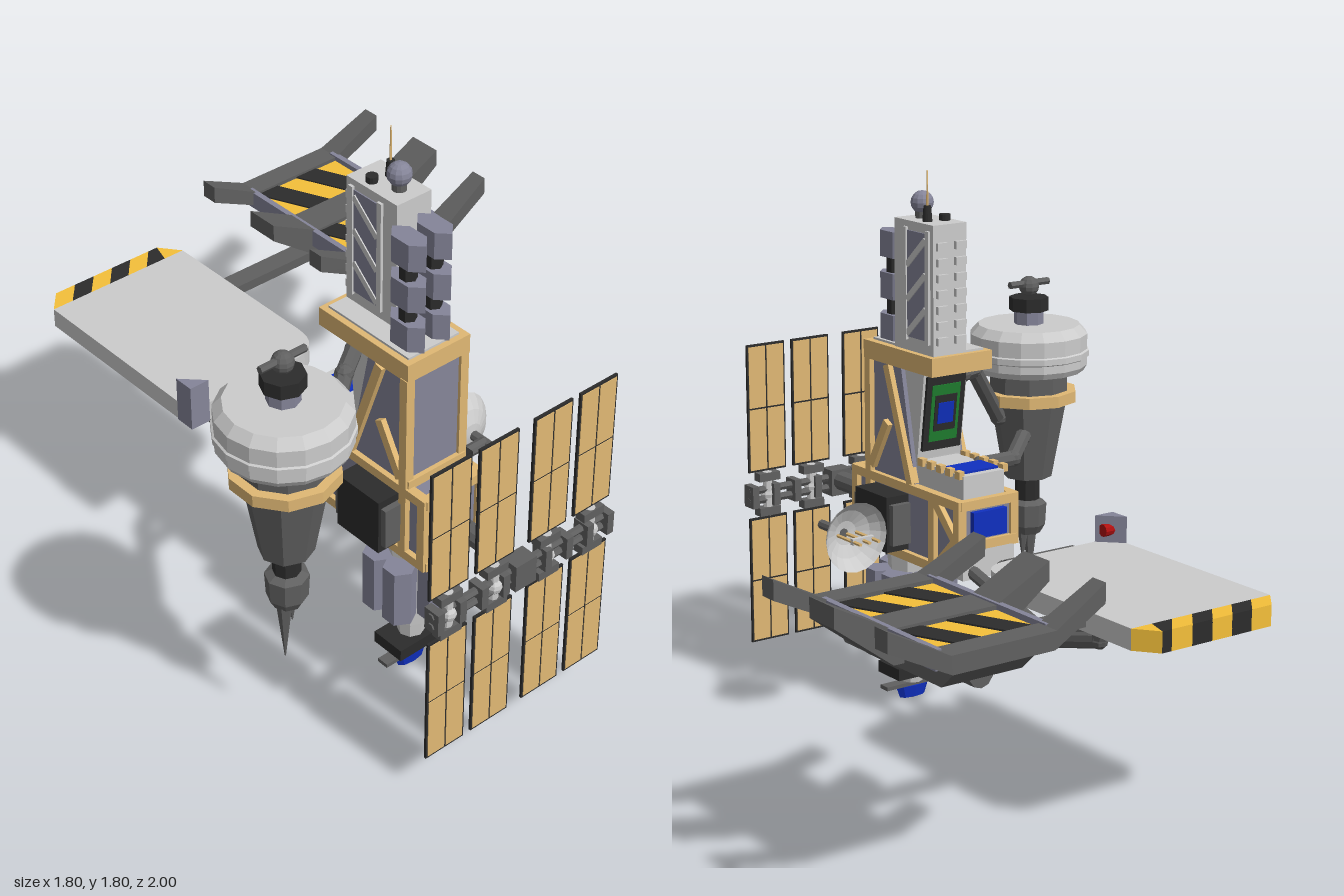
import * as THREE from 'three';

const mat = (color) => new THREE.MeshStandardMaterial({ color, flatShading: true, side: THREE.DoubleSide });
const V = (p) => new THREE.Vector3(...p);

export function createModel() {
  const root = new THREE.Group();
  const grey = mat(0xcccccc), dark = mat(0x606060), black = mat(0x2c2c2c), slate = mat(0x858599);
  const tan = mat(0xe0b874), yellow = mat(0xf5c03a), blue = mat(0x1030c0), red = mat(0xb01010), green = mat(0x208030);

  // --- helpers ---
  const add = (name, geo, m, x = 0, y = 0, z = 0) => {
    const mesh = new THREE.Mesh(geo, m);
    mesh.name = name;
    mesh.position.set(x, y, z);
    root.add(mesh);
    return mesh;
  };
  // Box given by its limits on each axis
  const box = (name, m, [x0, x1], [y0, y1], [z0, z1]) =>
    add(name, new THREE.BoxGeometry(x1 - x0, y1 - y0, z1 - z0), m, (x0 + x1) / 2, (y0 + y1) / 2, (z0 + z1) / 2);
  // Upright cylinder or cone between two heights
  const post = (name, m, x, z, y0, y1, r0, r1 = r0, n = 12) =>
    add(name, new THREE.CylinderGeometry(r1, r0, y1 - y0, n), m, x, (y0 + y1) / 2, z);
  const rod = (name, m, a, b, r, n = 8) => {
    const d = V(b).sub(V(a));
    const mesh = add(name, new THREE.CylinderGeometry(r, r, d.length(), n), m);
    mesh.position.copy(V(a)).addScaledVector(d, 0.5);
    mesh.quaternion.setFromUnitVectors(new THREE.Vector3(0, 1, 0), d.normalize());
  };
  const pipe = (name, m, pts, r) => pts.forEach((p, i) => {
    add(name + 'Joint', new THREE.SphereGeometry(r * 1.08, 8, 6), m, ...p);
    if (i) rod(name, m, pts[i - 1], p, r);
  });
  // Outline is either a list of points or a ready shape
  const extrude = (outline, depth) => new THREE.ExtrudeGeometry(
    Array.isArray(outline) ? new THREE.Shape(outline.map((p) => new THREE.Vector2(...p))) : outline,
    { depth, bevelEnabled: false, curveSegments: 8 });
  // Side profile in (z, y), extruded across x0..x1
  const sideProfile = (name, m, pts, x0, x1) => add(name, extrude(pts, x1 - x0).rotateY(-Math.PI / 2), m, x1);
  // Plan in (x, z), extruded from y1 down to y0
  const plan = (name, m, outline, y0, y1) => add(name, extrude(outline, y1 - y0).rotateX(Math.PI / 2), m, 0, y1);
  // Flat beam lying in a plane of constant x, between (z, y) points
  const beam = (name, m, x, [z0, y0], [z1, y1], w = 0.03, t = 0.03) => {
    const mesh = add(name, new THREE.BoxGeometry(t, w, Math.hypot(z1 - z0, y1 - y0)), m, x, (y0 + y1) / 2, (z0 + z1) / 2);
    mesh.rotation.x = -Math.atan2(y1 - y0, z1 - z0);
  };
  const CX = -0.235;

  // --- body: lower block, tower and cap ---
  sideProfile('lowerBody', slate, [[0.69, 0.54], [0.69, 0.78], [0.11, 0.78], [0.11, 0.65], [0.2, 0.54]], -0.335, -0.135);
  sideProfile('tower', slate, [[0.61, 0.78], [0.61, 1.17], [0.44, 1.17], [0.36, 0.78]], -0.335, -0.135);
  sideProfile('towerBack', grey, [[0.46, 1.17], [0.33, 1.17], [0.37, 0.87], [0.38, 0.78]], -0.32, -0.15);
  box('cap', tan, [-0.35, -0.115], [1.165, 1.225], [0.24, 0.62]);
  box('capTop', grey, [-0.33, -0.14], [1.22, 1.232], [0.26, 0.6]);
  sideProfile('cornerPlate', grey, [[0.1, 0.53], [0.22, 0.53], [0.1, 0.64]], -0.335, -0.135);
  for (const x of [-0.338, -0.132]) {
    [[[0.7, 0.775], [0.1, 0.775]], [[0.7, 0.545], [0.2, 0.545]], [[0.685, 0.53], [0.685, 0.79]],
      [[0.605, 0.54], [0.605, 1.17]], [[0.25, 0.54], [0.25, 0.78]], [[0.115, 0.62], [0.115, 0.79]],
      [[0.24, 0.77], [0.12, 0.65]], [[0.12, 0.66], [0.23, 0.55]], [[0.5, 1.16], [0.37, 0.79]],
      [[0.59, 0.81], [0.5, 0.97]], [[0.45, 0.55], [0.45, 0.6]]].forEach(([a, b]) => beam('frameBeam', tan, x, a, b));
  }
  for (const [y, z] of [[0.775, 0.69], [0.545, 0.69], [0.8, 0.61], [0.775, 0.11], [0.64, 0.11]])
    box('frameCrossbar', tan, [-0.345, -0.125], [y - 0.015, y + 0.015], [z - 0.015, z + 0.015]);
  box('frontStrip', tan, [-0.265, -0.205], [0.53, 0.79], [0.68, 0.7]);
  for (const [a, b] of [[-0.42, -0.33], [-0.14, -0.05]]) {
    box('sidePod', black, [a, b], [0.565, 0.75], [0.4, 0.58]);
    box('sidePodLip', dark, [a + 0.01, b - 0.01], [0.59, 0.725], [0.38, 0.6]);
  }

  // --- console and screens at the back ---
  box('console', grey, [-0.31, -0.15], [0.78, 0.865], [0.12, 0.38]);
  box('consoleScreen', blue, [-0.305, -0.165], [0.86, 0.872], [0.145, 0.24]);
  for (let i = 0; i < 5; i++) for (const x of [-0.32, -0.15])
    box('consoleEdge', tan, [x - 0.008, x + 0.012], [0.855, 0.88], [0.125 + i * 0.05, 0.152 + i * 0.05]);
  box('backScreen', blue, [-0.3, -0.17], [0.665, 0.75], [0.09, 0.115]);
  [[0.075, 0.25, black], [0.055, 0.19, green], [0.042, 0.12, black], [0.03, 0.07, blue]].forEach(([w, h, m], i) => {
    const s = add('slopedScreen', new THREE.BoxGeometry(w * 2, h, 0.01), m, CX, 1.02, 0.345 - i * 0.003);
    s.rotation.x = -0.13;
  });

  // --- upper mast with lattice, storage cells and antennas ---
  box('mast', grey, [-0.262, -0.135], [1.22, 1.64], [0.26, 0.47]);
  for (const x of [-0.264, -0.133]) {
    box('mastRecess', slate, [x - 0.002, x + 0.002], [1.27, 1.61], [0.285, 0.405]);
    for (let i = 0; i < 3; i++)
      beam('lattice', grey, x, [0.395, 1.28 + i * 0.11], [0.295, 1.37 + i * 0.11], 0.02, 0.012);
    for (const z of [0.285, 0.405]) beam('latticeRail', grey, x, [z, 1.26], [z, 1.62], 0.018, 0.014);
  }
  for (let i = 0; i < 7; i++) for (const x of [-0.235, -0.165])
    box('backStud', grey, [x - 0.02, x + 0.02], [1.26 + i * 0.05, 1.285 + i * 0.05], [0.247, 0.262]);
  for (const x of [-0.28, -0.185]) {
    post('cellCore', black, x, 0.54, 1.22, 1.56, 0.027, 0.027, 6);
    for (const y of [1.23, 1.365, 1.5])
      post('storageCell', slate, x, 0.54, y, y + 0.085, 0.07, 0.07, 6).scale.x = 0.56;
  }
  add('sensorBall', new THREE.SphereGeometry(0.037, 12, 8), slate, -0.2, 1.69, 0.41);
  post('ballStem', dark, -0.2, 0.41, 1.63, 1.67, 0.022);
  post('antennaBase', black, -0.17, 0.34, 1.64, 1.69, 0.016, 0.012);
  post('antenna', tan, -0.17, 0.34, 1.69, 1.8, 0.004, 0.002, 5);
  post('antennaStub', black, -0.23, 0.33, 1.64, 1.66, 0.018);

  // --- lower column with cells and probe ---
  post('lowerColumn', grey, CX, 0.525, 0.19, 0.54, 0.06, 0.085, 8);
  for (const [dx, dz] of [[0, 0.1], [0, -0.1], [0.09, 0.045], [-0.09, 0.045], [0.09, -0.045], [-0.09, -0.045]])
    post('lowerCell', slate, CX + dx, 0.525 + dz, 0.265, 0.46, 0.052, 0.052, 6);
  post('probeNeck', grey, CX, 0.525, 0.06, 0.2, 0.035, 0.05, 8);
  box('probeCollar', black, [-0.33, -0.14], [0.09, 0.13], [0.465, 0.585]);
  box('probeBar', dark, [-0.35, -0.12], [0.047, 0.06], [0.505, 0.545]);
  add('probeTip', new THREE.CylinderGeometry(0.065, 0.05, 0.04, 8), blue, CX, 0.025, 0.525).scale.z = 0.35;
  post('probePin', dark, CX, 0.525, 0, 0.06, 0.008);

  // --- solar array ---
  rod('solarBoom', dark, [CX, 0.66, 0.66], [CX, 0.66, 0.99], 0.033, 10);
  box('solarHub', dark, [-0.275, -0.195], [0.61, 0.7], [0.94, 1]);
  for (const y of [0.635, 0.67]) rod('trussRail', dark, [-0.575, y, 0.97], [0.12, y, 0.97], 0.013, 6);
  for (let i = 0; i < 9; i++)
    box('trussRib', dark, [-0.57 + i * 0.083, -0.545 + i * 0.083], [0.615, 0.69], [0.942, 0.998]);
  for (const x of [-0.51, -0.335, -0.13, 0.045]) {
    post('panelPivot', grey, x, 0.97, 0.58, 0.73, 0.016, 0.016, 8);
    add('pivotBall', new THREE.SphereGeometry(0.024, 8, 6), grey, x, 0.652, 0.975);
    for (const s of [-1, 1]) {
      const y = 0.655 + s * 0.298;
      box('panelBracket', dark, [x - 0.04, x + 0.04], [0.655 + s * 0.06 - 0.014, 0.655 + s * 0.06 + 0.014], [0.952, 0.988]);
      box('panelFrame', black, [x - 0.073, x + 0.073], [y - 0.218, y + 0.218], [0.966, 0.974]);
      for (const a of [-0.035, 0.035]) for (const b of [-0.107, 0.107])
        box('solarCell', tan, [x + a - 0.032, x + a + 0.032], [y + b - 0.104, y + b + 0.104], [0.964, 0.976]);
    }
  }

  // --- drill pod: tank, tapered housing, chuck and bits ---
  const PX = -0.705, PZ = 0.51;
  const lathe = (name, m, pts, n) => add(name, new THREE.LatheGeometry(pts.map((p) => new THREE.Vector2(...p)), n), m, PX, 0, PZ);
  lathe('tank', grey, [[0, 1.07], [0.185, 1.07], [0.197, 1.09], [0.197, 1.195], [0.17, 1.225], [0, 1.225]], 16);
  lathe('tankBand', grey, [[0.195, 1.115], [0.203, 1.12], [0.203, 1.14], [0.195, 1.145]], 16);
  post('podCollar', dark, PX, PZ, 0.99, 1.075, 0.135, 0.135, 10);
  post('podRing', tan, PX, PZ, 0.965, 1.003, 0.165, 0.165, 10);
  post('podHousing', dark, PX, PZ, 0.7, 0.97, 0.082, 0.13, 8);
  post('drillShaft', black, PX, PZ, 0.59, 0.7, 0.042, 0.042, 8);
  lathe('chuck', dark, [[0, 0.5], [0.045, 0.5], [0.062, 0.53], [0.066, 0.605], [0.04, 0.62]], 8);
  post('longBit', dark, -0.725, PZ + 0.01, 0.31, 0.51, 0.002, 0.024, 6);
  post('shortBit', dark, -0.68, PZ - 0.01, 0.41, 0.51, 0.002, 0.018, 6);
  post('podNeck', slate, PX, PZ, 1.22, 1.28, 0.05, 0.05, 8);
  post('podNut', black, PX, PZ, 1.27, 1.315, 0.066, 0.066, 8);
  add('podBall', new THREE.SphereGeometry(0.034, 10, 8), dark, PX, 1.35, PZ);
  rod('podBar', dark, [-0.785, 1.36, PZ], [-0.625, 1.36, PZ], 0.012, 6);
  pipe('lowPodArm', dark, [[-0.32, 0.85, 0.26], [-0.45, 0.85, 0.26], [-0.63, 0.86, 0.44]], 0.026);
  pipe('highPodArm', dark, [[-0.32, 1.13, 0.36], [-0.41, 1.12, 0.42], [-0.58, 0.92, 0.51]], 0.027);

  // --- dish, opening towards the back ---
  const bowl = [[0, 0], [0.04, 0.006], [0.08, 0.026], [0.105, 0.052], [0.115, 0.07]].map((p) => new THREE.Vector2(...p));
  add('dish', new THREE.LatheGeometry(bowl, 20), grey, 0.09, 0.65, 0.435).rotation.x = -Math.PI / 2;
  for (const dx of [-0.035, 0, 0.035])
    rod('dishProng', tan, [0.09 + dx, 0.65, 0.42], [0.09 + dx, 0.65, 0.29], 0.006, 5);
  box('dishFeed', grey, [0.05, 0.13], [0.64, 0.66], [0.325, 0.34]);
  rod('dishPost', dark, [0.095, 0.65, 0.43], [0.095, 0.65, 0.56], 0.016);
  rod('dishArm', dark, [-0.06, 0.65, 0.48], [0.095, 0.65, 0.48], 0.02);
  rod('dishBase', dark, [-0.06, 0.65, 0.48], [-0.03, 0.65, 0.48], 0.055, 10);

  // --- cargo platform on folding arms ---
  const deck = new THREE.Shape().moveTo(-0.5, -0.91).lineTo(0.025, -0.91).lineTo(0.025, -0.31)
    .quadraticCurveTo(0.025, -0.19, -0.095, -0.19).lineTo(-0.43, -0.19).lineTo(-0.5, -0.26);
  plan('platform', grey, deck, 0.615, 0.68);
  for (let i = 0; i < 7; i++) {
    const a = -0.5 + i * 0.075, top = (x) => Math.min(x + 0.06, -0.03);
    plan('hazardEdge', i % 2 ? black : yellow, [[a, -0.91], [a + 0.075, -0.91], [top(a + 0.075), -0.98], [top(a) - 0.001, -0.98]], 0.615, 0.68);
  }
  plan('lampPost', slate, [[-0.5, -0.26], [-0.5, -0.19], [-0.43, -0.19]], 0.61, 0.765);
  rod('lamp', red, [-0.475, 0.72, -0.215], [-0.44, 0.72, -0.215], 0.02, 10);
  for (const x of [-0.285, -0.175]) {
    pipe('platformArm', dark, [[x, 0.56, 0.13], [x, 0.51, -0.05], [x, 0.64, -0.18]], 0.022);
    pipe('platformBrace', dark, [[x, 0.51, -0.05], [x, 0.44, -0.3], [x, 0.5, -0.53], [x, 0.6, -0.56]], 0.025);
  }
  rod('platformHinge', dark, [-0.365, 0.645, -0.17], [-0.1, 0.645, -0.17], 0.03, 10);
  rod('armCrossbar', dark, [-0.315, 0.51, -0.06], [-0.15, 0.51, -0.06], 0.03, 8);

  // --- side cradle: angled ribs around a striped bed ---
  box('cradleArm', dark, [0.02, 0.53], [0.63, 0.663], [-0.71, -0.64]);
  rod('cradlePivot', dark, [0.53, 0.645, -0.89], [0.53, 0.645, -0.55], 0.04, 10);
  for (const [z0, z1, base, outer] of [[-1, -0.92, 0.71, -1], [-0.73, -0.61, 0.66, 0], [-0.43, -0.35, 0.71, 1]]) {
    const half = [[0.175, 0.765], [0.36, 0.86], [0.36, 0.8], [0.17, base]];
    const geo = extrude([...half.map(([x, y]) => [-x, y]), ...half.reverse()], z1 - z0);
    const p = geo.attributes.position;
    // Outer ribs narrow towards their tips
    for (let i = 0; i < p.count; i++) {
      const far = outer > 0 ? p.getZ(i) > 0.01 : p.getZ(i) < 0.01;
      if (far && Math.abs(p.getX(i)) > 0.3) p.setZ(i, p.getZ(i) - outer * 0.022);
    }
    geo.computeVertexNormals();
    add('cradleRib', geo, dark, 0.535, 0, z0);
  }
  sideProfile('cradleKeel', dark, [[-0.36, 0.715], [-0.98, 0.715], [-0.9, 0.64], [-0.44, 0.64]], 0.4, 0.67);
  box('cradleBed', yellow, [0.36, 0.71], [0.71, 0.752], [-0.95, -0.4]);
  for (const x of [0.35, 0.715]) box('bedRail', slate, [x - 0.01, x + 0.01], [0.71, 0.77], [-0.95, -0.4]);
  for (const [z0, z1] of [[-0.92, -0.73], [-0.61, -0.43]]) for (const x of [0.36, 0.53])
    plan('bedStripe', black, [[x, z0], [x + 0.085, z0], [x + 0.17, z1], [x + 0.085, z1]], 0.74, 0.757);

  return root;
}
